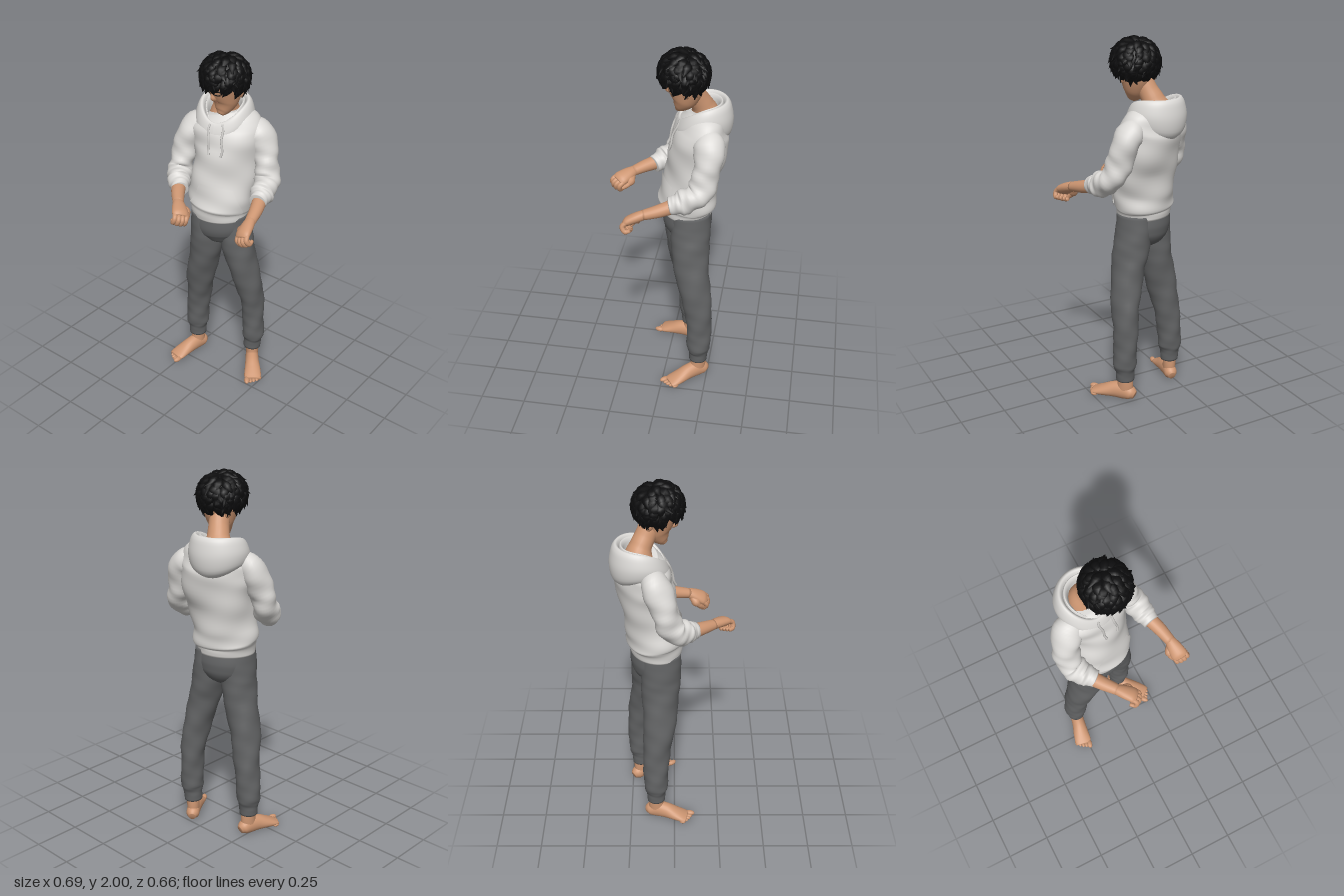
import * as THREE from 'three';

const mat = (name, color, side = THREE.FrontSide) => {
  const m = new THREE.MeshStandardMaterial({ color, side });
  m.name = name;
  return m;
};
const V = (x, y, z) => new THREE.Vector3(x, y, z);

// Lofted body: rows are [x, y, z, halfWidth, halfDepth]; side is the width direction.
function sweep(rows, { side = V(1, 0, 0), n = 24, steps = 6, fold = 0, waves = 3, twist = 9 } = {}) {
  const path = new THREE.CatmullRomCurve3(rows.map(r => V(r[0], r[1], r[2])));
  const radii = new THREE.CatmullRomCurve3(rows.map(r => V(r[3], r[4] ?? r[3], 0)));
  const surf = (t, a, grow = 0) => {
    const T = path.getTangent(t), R = radii.getPoint(t);
    const S = side.clone().addScaledVector(T, -side.dot(T)).normalize();
    const F = S.clone().cross(T);
    const k = fold * Math.sin(t * Math.PI) *
      (Math.sin(a * waves + t * twist) + 0.6 * Math.sin(a * 2 - t * twist * 2.3));
    return path.getPoint(t)
      .addScaledVector(S, Math.cos(a) * (Math.max(R.x, 0.0005) + k + grow))
      .addScaledVector(F, Math.sin(a) * (Math.max(R.y, 0.0005) + k + grow));
  };
  const m = (rows.length - 1) * steps, pos = [], idx = [];
  for (let i = 0; i <= m; i++)
    for (let j = 0; j < n; j++) pos.push(...surf(i / m, j / n * Math.PI * 2).toArray());
  pos.push(...path.getPoint(0).toArray(), ...path.getPoint(1).toArray());
  const c0 = (m + 1) * n;
  for (let j = 0; j < n; j++) {
    const k = (j + 1) % n;
    for (let i = 0; i < m; i++) {
      const a = i * n + j, b = i * n + k;
      idx.push(a, a + n, b, b, a + n, b + n);
    }
    idx.push(c0, j, k, c0 + 1, m * n + k, m * n + j);
  }
  const g = new THREE.BufferGeometry();
  g.setAttribute('position', new THREE.Float32BufferAttribute(pos, 3));
  g.setIndex(idx);
  g.computeVertexNormals();
  g.userData.surf = surf;
  return g;
}

export function createModel() {
  const root = new THREE.Group();
  root.name = 'standingFigure';
  const skin = mat('skin', 0xcd9672), cloth = mat('hoodieCloth', 0xdad8d5, THREE.DoubleSide);
  const cord = mat('cordGrey', 0xcbc9c6), denim = mat('trouserGrey', 0x626364);
  const black = mat('hairBlack', 0x0d0d0e, THREE.DoubleSide), lip = mat('lips', 0xa8705a);
  const add = (name, geo, material, parent = root) => {
    const mesh = new THREE.Mesh(geo, material);
    mesh.name = name;
    parent.add(mesh);
    return mesh;
  };
  const tube = (pts, r, seg = 20) => new THREE.TubeGeometry(new THREE.CatmullRomCurve3(pts), seg, r, 6);
  const turn = 0.39, across = V(Math.cos(turn), 0, -Math.sin(turn));

  // Hoodie body with gathered hem
  const torso = sweep([
    [-.065, 1.045, -.1, .158, .134], [-.065, 1.09, -.1, .164, .14], [-.064, 1.12, -.103, .178, .152],
    [-.062, 1.2, -.112, .174, .145], [-.058, 1.32, -.135, .177, .142], [-.058, 1.44, -.157, .19, .148],
    [-.066, 1.53, -.166, .2, .138], [-.074, 1.59, -.174, .178, .112], [-.085, 1.632, -.178, .115, .085],
  ], { side: across, n: 48, fold: .0055, twist: 16 });
  add('hoodieBody', torso, cloth);
  const { surf } = torso.userData;

  // Front pocket patch following the body
  const pocket = new THREE.PlaneGeometry(1, 1, 20, 12), pp = pocket.attributes.position;
  for (let i = 0; i < pp.count; i++) {
    const v = pp.getY(i) + .5, half = .98 - .45 * Math.max(0, (v - .3) / .7);
    pp.setXYZ(i, ...surf(.17 + v * .25, Math.PI / 2 - pp.getX(i) * 2 * half, .008).toArray());
  }
  pocket.computeVertexNormals();
  add('frontPocket', pocket, cloth);

  // Drawstrings
  for (const s of [-1, 1]) {
    const pts = [.86, .8, .72, .64, .6].map((t, i) => surf(t, Math.PI / 2 + .16 - s * (.18 + .03 * (i % 2)), .007));
    add('drawstring', tube(pts, .0065), cord);
  }

  // Hood folded down: a ring that dips at the front and hangs at the back
  const hoodShape = (pts) => {
    const g = new THREE.LatheGeometry(new THREE.SplineCurve(pts.map(p => new THREE.Vector2(...p))).getPoints(28), 48);
    const p = g.attributes.position;
    for (let i = 0; i < p.count; i++) {
      const x = p.getX(i), z = p.getZ(i), y = p.getY(i), r = Math.hypot(x, z);
      const back = (1 - z / r) / 2, low = Math.max(0, (1.68 - y) / .1);
      const pinch = 1 - .1 * (1 - back) ** 2 * (r > .1 ? 1 : 0);
      p.setXYZ(i, x * pinch, y - .1 * (1 - back) ** 3 - .065 * low * back ** 2, z * pinch);
    }
    g.computeVertexNormals();
    return g;
  };
  const hood = new THREE.Group();
  hood.name = 'hood';
  hood.position.set(-.09, 0, -.17);
  hood.rotation.y = .2;
  root.add(hood);
  add('hoodFold', hoodShape([[.098, 1.58], [.104, 1.655], [.118, 1.698], [.135, 1.702], [.153, 1.672], [.164, 1.63], [.152, 1.585], [.11, 1.56]]), cloth, hood);
  add('hoodLining', hoodShape([[.078, 1.58], [.084, 1.655], [.094, 1.69], [.107, 1.695], [.116, 1.65]]), cloth, hood);

  // Arms: sleeve, pushed-up cuff, forearm and loosely closed hand
  const arms = [
    { name: 'left', s: -1, side: V(1, 0, 0), roll: .4, aim: V(.292, 1.14, .2),
      sleeve: [[.02, 1.56, -.205, .05, .062], [.1, 1.525, -.232, .073, .08], [.145, 1.4, -.225, .067, .071], [.183, 1.295, -.192, .066, .067], [.206, 1.255, -.12, .066, .066], [.218, 1.242, -.08, .052, .054], [.226, 1.235, -.045, .046, .046]],
      arm: [[.215, 1.24, -.09, .04], [.25, 1.215, 0, .036, .034], [.274, 1.195, .085, .029, .026]] },
    { name: 'right', s: 1, side: V(.7, 0, -.7), roll: -.3, aim: V(0, 1.2, .305),
      sleeve: [[-.15, 1.56, -.13, .05, .062], [-.232, 1.525, -.092, .073, .08], [-.268, 1.4, -.05, .067, .071], [-.268, 1.295, -.01, .066, .067], [-.235, 1.258, .045, .066, .066], [-.206, 1.246, .078, .052, .054], [-.18, 1.238, .105, .046, .046]],
      arm: [[-.205, 1.245, .085, .04], [-.16, 1.238, .145, .036, .034], [-.106, 1.228, .208, .029, .026]] },
  ];
  for (const a of arms) {
    add(a.name + 'Sleeve', sweep(a.sleeve, { side: a.side, n: 32, steps: 8, fold: .005, waves: 2, twist: 26 }), cloth);
    add(a.name + 'Forearm', sweep(a.arm, { side: a.side }), skin);
    const hand = new THREE.Group();
    hand.name = a.name + 'Hand';
    hand.position.set(...a.arm[2].slice(0, 3));
    hand.lookAt(a.aim);
    hand.rotateZ(a.roll);
    hand.scale.setScalar(1.07);
    root.add(hand);
    add('palm', sweep([[0, 0, -.03, .016, .014], [0, 0, -.005, .027, .024], [0, .001, .035, .037, .026], [0, 0, .075, .042, .024], [0, -.005, .098, .037, .016]]), skin, hand);
    for (let i = 0; i < 4; i++) {
      const x = (i - 1.5) * .019, l = i === 0 || i === 3 ? -.006 : 0;
      add('finger', sweep([[x, 0, .075, .012], [x, -.012, .113 + l, .013], [x, -.04, .112 + l, .012], [x, -.046, .08, .009]], { n: 10 }), skin, hand);
    }
    add('thumb', sweep([[a.s * .02, -.004, .015, .015], [a.s * .042, -.016, .06, .015], [a.s * .034, -.034, .1, .01]], { side: V(0, 1, 0), n: 10 }), skin, hand);
  }

  // Trousers: seat, legs and gathered ankles
  add('trouserSeat', sweep([[-.064, 1.07, -.1, .152, .126], [-.062, 1.0, -.103, .158, .134], [-.06, .95, -.106, .148, .126], [-.056, .9, -.106, .1, .095], [-.054, .87, -.106, .04, .05]], { side: across, n: 40 }), denim);
  const legs = {
    left: [[.014, 1.065, -.132, .078, .104], [.016, .98, -.134, .086, .108], [.03, .88, -.134, .09, .108], [.055, .76, -.142, .083, .099], [.086, .6, -.17, .075, .088], [.1, .45, -.196, .065, .076], [.104, .32, -.201, .061, .07], [.107, .22, -.2, .063, .068], [.104, .175, -.2, .052, .054], [.102, .122, -.198, .05, .051]],
    right: [[-.137, 1.065, -.07, .078, .106], [-.136, .98, -.072, .087, .11], [-.135, .88, -.075, .094, .108], [-.155, .76, -.078, .088, .1], [-.193, .6, -.084, .083, .088], [-.218, .45, -.1, .071, .076], [-.234, .32, -.105, .066, .07], [-.24, .22, -.105, .066, .066], [-.24, .175, -.105, .053, .054], [-.24, .122, -.105, .05, .05]],
  };
  const feet = { left: [.104, -.198, .65, 1, 1.08], right: [-.24, -.105, -.2, -1, 1.02] };
  for (const name of ['left', 'right']) {
    add(name + 'TrouserLeg', sweep(legs[name], { side: V(.97, 0, -.24), n: 32, fold: .0025, twist: 34 }), denim);

    // Bare foot: flattened sole, ankle and toes
    const [x, z, yaw, s, size] = feet[name], foot = new THREE.Group();
    foot.name = name + 'Foot';
    foot.position.set(x, 0, z);
    foot.rotation.y = yaw;
    foot.scale.set(1, 1, size);
    root.add(foot);
    const g = sweep([[0, .03, -.056, .02, .022], [0, .038, -.035, .036, .038], [0, .046, .01, .038, .05], [0, .042, .06, .041, .045], [s * .002, .03, .11, .047, .033], [s * .002, .019, .155, .05, .021], [s * .002, .014, .178, .045, .014]]);
    const p = g.attributes.position;
    for (let i = 0; i < p.count; i++) p.setY(i, Math.max(0, p.getY(i)));
    g.computeVertexNormals();
    add('footBody', g, skin, foot);
    add('ankle', sweep([[0, .03, .004, .034, .046], [0, .09, -.002, .036, .042], [0, .16, 0, .037, .039]]), skin, foot);
    for (let i = 0; i < 5; i++) {
      const r = i ? .0105 : .016;
      const toe = add('toe', new THREE.SphereGeometry(r, 12, 8), skin, foot);
      toe.position.set(s * (-.033 + i * .0185 + (i ? .003 : 0)), r * .9, .188 - i * i * .0018);
      toe.scale.set(1, .9, 1.7);
    }
  }

  // Neck and bowed head
  add('neck', sweep([[-.09, 1.58, -.18, .1, .09], [-.09, 1.635, -.182, .08, .074], [-.078, 1.68, -.17, .06, .058], [-.058, 1.73, -.145, .053, .055], [-.035, 1.8, -.11, .052, .056]]), skin);
  const head = new THREE.Group();
  head.name = 'head';
  head.position.set(-.021, 1.85, -.082);
  head.rotation.set(.25, -.12, 0, 'YXZ');
  root.add(head);
  const skull = sweep([[0, -.166, .078, .018, .014], [0, -.152, .06, .038, .036], [0, -.115, .028, .064, .07], [0, -.06, .006, .08, .095], [0, 0, -.004, .09, .106], [0, .06, -.01, .088, .106], [0, .105, -.01, .062, .075], [0, .122, -.01, .02, .03]], { n: 32 });
  add('face', skull, skin, head);
  const onFace = (t, off, grow = .001) => skull.userData.surf(t, Math.PI / 2 + off, grow);
  const noseRows = [[.5, -.002, .006], [.44, .003, .009], [.375, .009, .013], [.335, -.002, .01]];
  add('nose', sweep(noseRows.map(([t, grow, r]) => [...onFace(t, 0, grow).toArray(), r]), { n: 12 }), skin, head);
  add('mouth', tube([-.24, 0, .24].map(o => onFace(.27, o)), .003), lip, head);
  for (const s of [-1, 1]) {
    add('eyebrow', tube([onFace(.51, s * .16), onFace(.535, s * .4), onFace(.52, s * .62)], .004), black, head);
    add('loweredLashes', tube([onFace(.462, s * .22), onFace(.452, s * .38), onFace(.466, s * .54)], .0032), black, head);
    const ear = add('ear', new THREE.SphereGeometry(.03, 14, 10), skin, head);
    ear.position.set(s * .086, -.055, -.018);
    ear.scale.set(.4, 1.05, .7);
    ear.rotation.y = s * -.3;
  }

  // Tousled hair: cap plus overlapping pointed locks, longer towards the nape
  const hair = new THREE.Group();
  hair.name = 'hair';
  hair.position.set(0, .026, -.008);
  hair.rotation.x = -.45;
  head.add(hair);
  const cap = add('hairCap', new THREE.SphereGeometry(1, 32, 20, 0, Math.PI * 2, 0, Math.PI * .65), black, hair);
  cap.scale.set(.117, .108, .122);
  let seed = 7;
  const rand = () => (seed = (seed * 16807) % 2147483647) / 2147483647;
  const onHair = (polar, az, k) => V(Math.sin(polar) * Math.sin(az) * .117, Math.cos(polar) * .108, Math.sin(polar) * Math.cos(az) * .122).multiplyScalar(k);
  const count = 130;
  for (let i = 0; i < count; i++) {
    const polar = .15 + 1.85 * Math.sqrt((i + .5) / count), az = i * 2.39996 + rand() * .4;
    const bend = (rand() - .5) * .8, low = Math.max(0, polar - 1.4), lift = 1.08 + rand() * .16 + low * .15;
    const long = .32 + rand() * .2;
    const pts = [onHair(polar - .3, az, .92), onHair(polar, az + bend * .2, 1.05), onHair(polar + long * .55, az + bend * .5, 1.07 + low * .08), onHair(polar + long, az + bend, lift)];
    const w = [.02, .024, .015, .001];
    const side = V(Math.cos(az), 0, -Math.sin(az));
    add('hairLock', sweep(pts.map((q, j) => [q.x, q.y, q.z, w[j], w[j] * .5]), { side, n: 7, steps: 3 }), black, hair);
  }
  return root;
}
